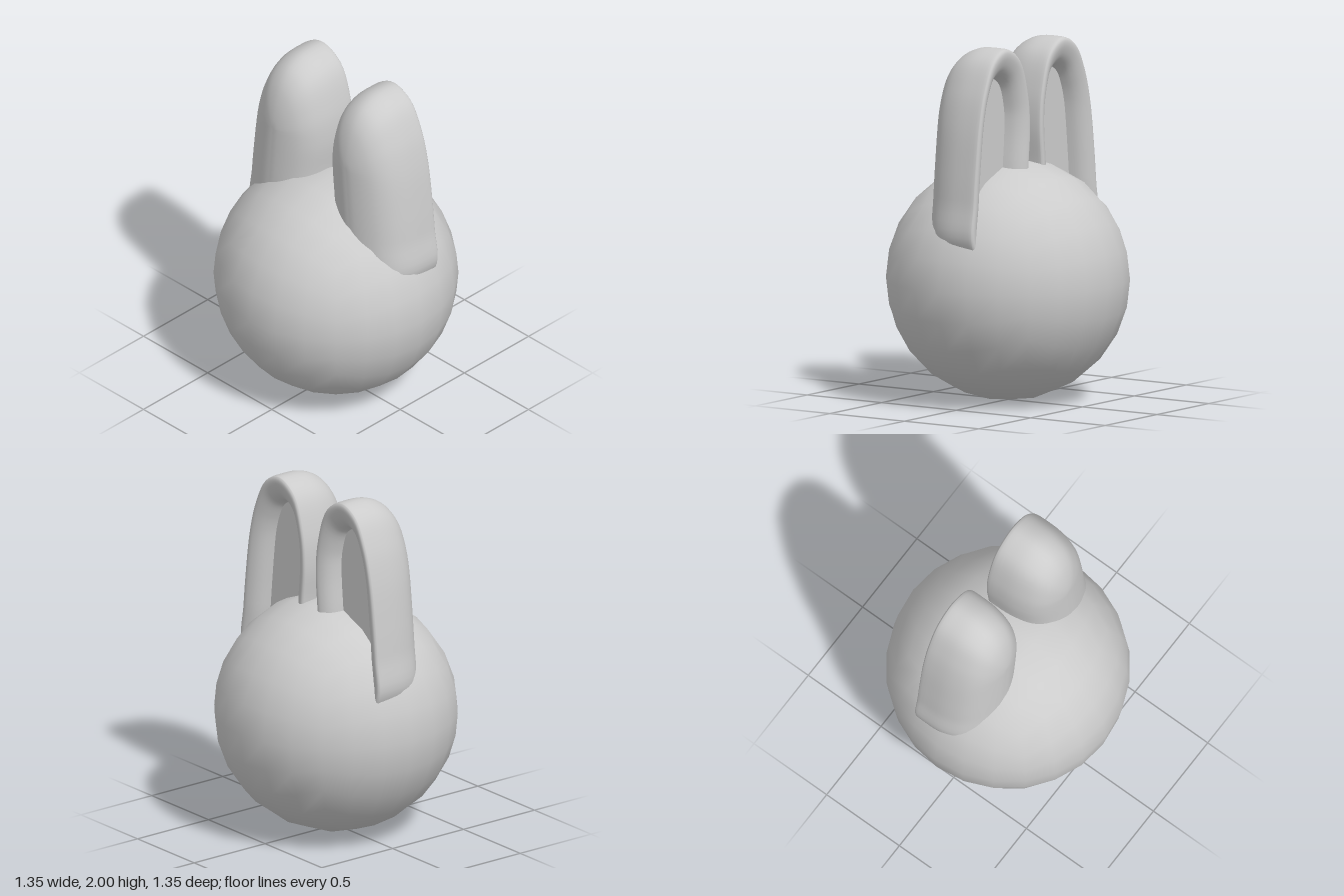
import * as THREE from 'three';

const material = new THREE.MeshStandardMaterial({ color: 0xcccccc });
const v2 = (points) => points.map(([a, b]) => new THREE.Vector2(a, b));

// Closed ear outline (x, y), counterclockwise; the lower end is buried in the head
const outline = new THREE.CatmullRomCurve3([
  [0.5, 0.8], [0.612, 0.95], [0.595, 1.16], [0.577, 1.34], [0.54, 1.6], [0.487, 1.79], [0.4, 1.945],
  [0.275, 2.0], [0.14, 1.925], [0.063, 1.72], [0.044, 1.53], [0.058, 1.34], [0.08, 1.1], [0.22, 0.8],
].map(([x, y]) => new THREE.Vector3(x, y, 0)), true).getPoints(72).slice(0, -1);

// Ear shell profile: (0 = outline, 1 = spine of the ear; z)
const shellProfile = [
  ...new THREE.SplineCurve(v2([
    [1, 0.21], [0.85, 0.208], [0.6, 0.19], [0.35, 0.155], [0.16, 0.1], [0.05, 0.03], [0, -0.05], [0, -0.16],
  ])).getPoints(21),
  ...new THREE.SplineCurve(v2([
    [0.01, -0.177], [0.05, -0.187], [0.14, -0.185], [0.27, -0.165], [0.37, -0.13], [0.43, -0.08],
  ])).getPoints(15),
];
const panelProfile = v2([[0.43, -0.08], [1, -0.08]]);

// Sweep a profile round the outline, drawing each point towards the spine
function sweep(profile, side) {
  const positions = [], index = [], n = outline.length;
  for (const { x: inset, y: z } of profile) {
    for (const p of outline) {
      const sy = THREE.MathUtils.clamp(p.y, 0.9, 1.6);
      const sx = THREE.MathUtils.mapLinear(sy, 0.9, 1.6, 0.34, 0.285);
      positions.push(
        side * THREE.MathUtils.lerp(p.x, sx, inset),
        THREE.MathUtils.lerp(p.y, sy, inset),
        z,
      );
    }
  }
  for (let i = 0; i < profile.length - 1; i++) {
    for (let j = 0; j < n; j++) {
      const k = (j + 1) % n;
      const a = i * n + j, b = a + n, c = i * n + k, d = c + n;
      if (side > 0) index.push(a, b, c, b, d, c);
      else index.push(a, c, b, b, c, d);
    }
  }
  const geometry = new THREE.BufferGeometry();
  geometry.setAttribute('position', new THREE.Float32BufferAttribute(positions, 3));
  geometry.setIndex(index);
  geometry.computeVertexNormals();
  return geometry;
}

// Ball made from a cube whose faces are divided by equal angles
function ballGeometry(radius, segments) {
  const geometry = new THREE.BoxGeometry(2, 2, 2, segments, segments, segments);
  const { position, normal } = geometry.attributes;
  const p = new THREE.Vector3();
  const spread = (t) => Math.tan(t * Math.PI / 4);
  for (let i = 0; i < position.count; i++) {
    p.fromBufferAttribute(position, i);
    p.set(spread(p.x), spread(p.y), spread(p.z)).normalize();
    normal.setXYZ(i, p.x, p.y, p.z);
    position.setXYZ(i, p.x * radius, p.y * radius, p.z * radius);
  }
  return geometry;
}

function addMesh(parent, name, geometry) {
  const mesh = new THREE.Mesh(geometry, material);
  mesh.name = name;
  parent.add(mesh);
  return mesh;
}

export function createModel() {
  const model = new THREE.Group();
  model.name = 'earedBall';

  addMesh(model, 'head', ballGeometry(0.675, 6)).position.y = 0.675;

  // Ears: rounded in front, hollowed behind
  for (const [name, side] of [['leftEar', 1], ['rightEar', -1]]) {
    const ear = new THREE.Group();
    ear.name = name;
    addMesh(ear, 'earShell', sweep(shellProfile, side));
    addMesh(ear, 'earInnerPanel', sweep(panelProfile, side));
    model.add(ear);
  }
  return model;
}
